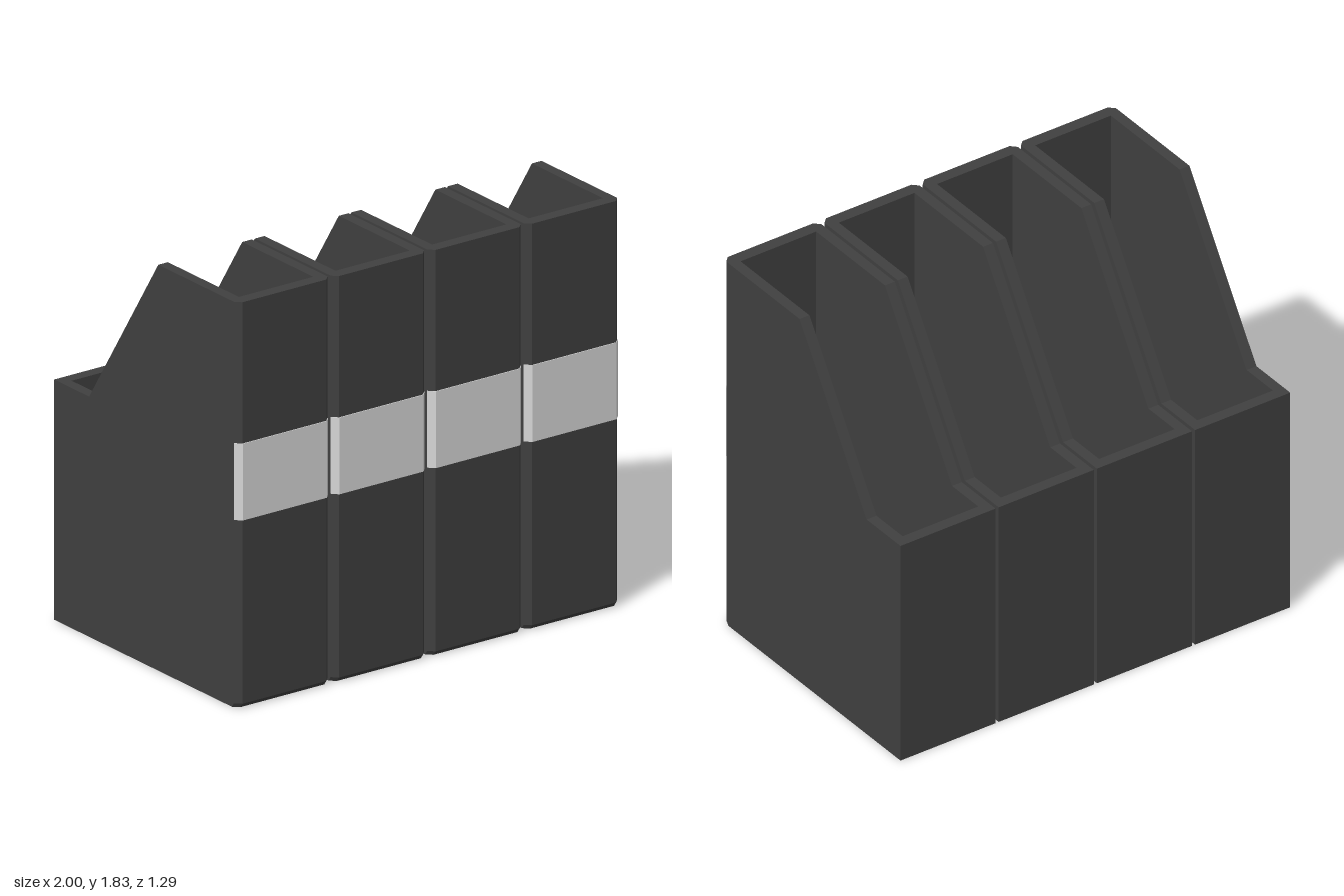
import * as THREE from 'three';

const W = 0.488, PITCH = 0.504, WALL = 0.05;
const BACK = -0.645, FRONT = 0.641, CHAMFER = 0.025;
const TALL = 1.825, LOW = 1.08, TOE = 0.02;

const shapeOf = (pts) => new THREE.Shape(pts.map(([x, y]) => new THREE.Vector2(x, y)));

// Upright slab with bevelled front corners, from zBack to zFront
function bevelledSlab(zBack, zFront, y0, y1) {
  const h = W / 2;
  const geo = new THREE.ExtrudeGeometry(shapeOf([
    [-h, -zBack], [-h, -(zFront - CHAMFER)], [-h + CHAMFER, -zFront],
    [h - CHAMFER, -zFront], [h, -(zFront - CHAMFER)], [h, -zBack],
  ]), { depth: y1 - y0, bevelEnabled: false });
  return geo.rotateX(-Math.PI / 2).translate(0, y0, 0);
}

export function createModel() {
  const charcoal = new THREE.MeshStandardMaterial({ color: 0x404040 });
  charcoal.name = 'charcoal';
  const paleGrey = new THREE.MeshStandardMaterial({ color: 0xd8d8d8 });
  paleGrey.name = 'paleGrey';

  const zIn0 = BACK + 0.055, zIn1 = 0.583;

  // Side wall: tall at the front, sloping down to the low back
  const side = new THREE.ExtrudeGeometry(shapeOf([
    [zIn0, 0], [zIn1, 0], [zIn1, TALL], [0.085, TALL], [-0.4, LOW], [zIn0, LOW],
  ]), { depth: WALL, bevelEnabled: false }).rotateY(-Math.PI / 2);

  const back = new THREE.BoxGeometry(W, LOW, zIn0 - BACK).translate(0, LOW / 2, (BACK + zIn0) / 2);
  const floor = new THREE.BoxGeometry(W - 2 * WALL, WALL, zIn1 - zIn0)
    .translate(0, WALL / 2, (zIn0 + zIn1) / 2);
  const front = bevelledSlab(zIn1, FRONT, TOE, TALL);

  // Toe: the lowest strip of the front, tucked in at the bottom edge
  const toe = bevelledSlab(zIn1, FRONT, 0, TOE);
  const p = toe.attributes.position;
  for (let i = 0; i < p.count; i++) {
    if (p.getY(i) < TOE / 2 && p.getZ(i) > zIn1 + 0.01) p.setZ(i, p.getZ(i) - 0.015);
  }
  toe.computeVertexNormals();

  // Label band wrapping the front and its bevels
  const band = bevelledSlab(FRONT - CHAMFER, FRONT + 0.004, 0.845, 1.19);

  const model = new THREE.Group();
  model.name = 'fileHolders';
  for (let i = 0; i < 4; i++) {
    const holder = new THREE.Group();
    holder.name = `holder${i + 1}`;
    holder.position.x = (i - 1.5) * PITCH;
    const add = (name, geo, mat, x = 0) => {
      const mesh = new THREE.Mesh(geo, mat);
      mesh.name = name;
      mesh.position.x = x;
      holder.add(mesh);
    };
    add('leftWall', side, charcoal, W / 2);
    add('rightWall', side, charcoal, -W / 2 + WALL);
    add('backWall', back, charcoal);
    add('floor', floor, charcoal);
    add('frontWall', front, charcoal);
    add('frontToe', toe, charcoal);
    add('labelBand', band, paleGrey);
    model.add(holder);
  }
  return model;
}
